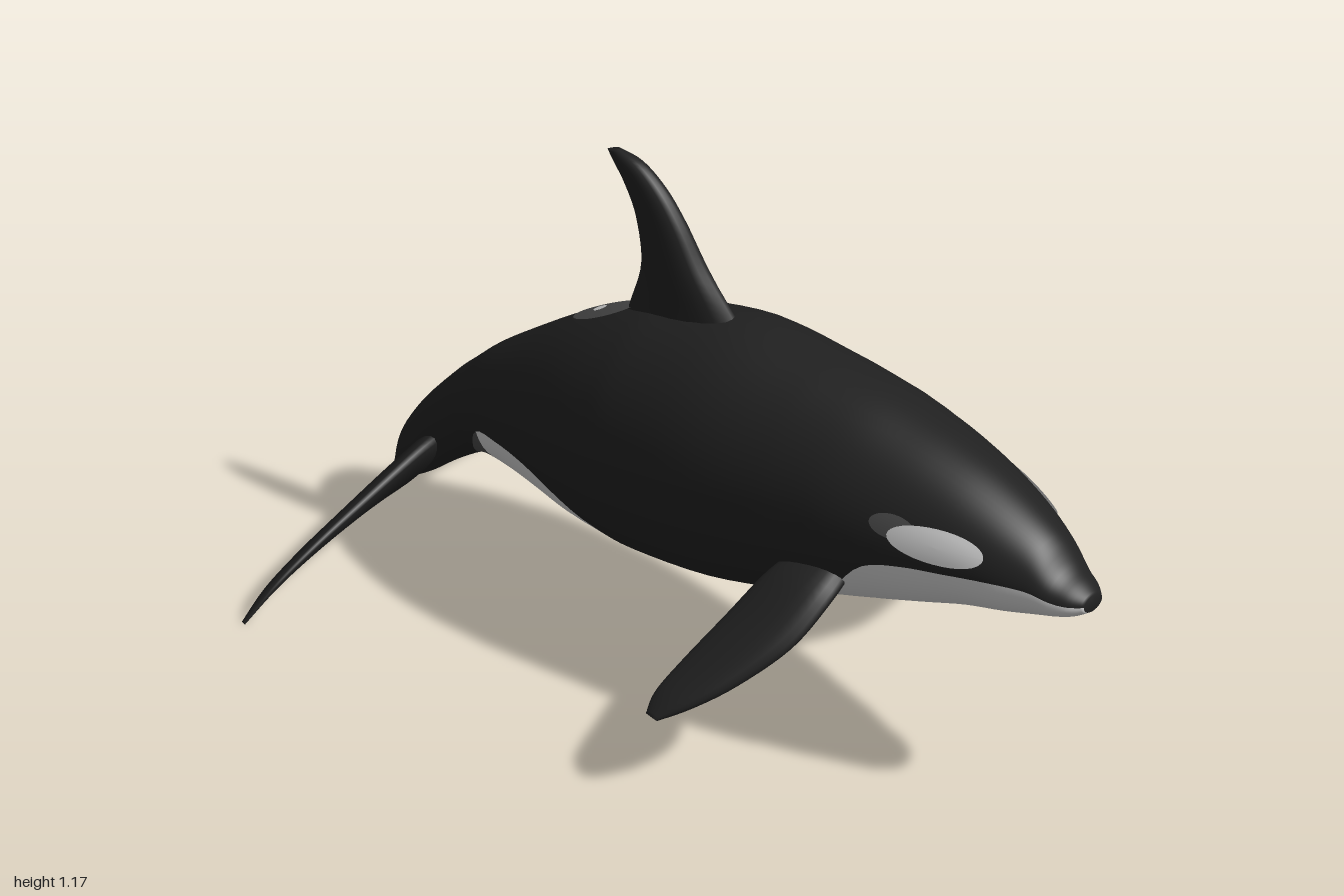
import * as THREE from 'three';

const mat = (name, color, side = THREE.FrontSide) => {
  const m = new THREE.MeshStandardMaterial({ color, side });
  m.name = name;
  return m;
};

// Catmull-Rom through the rows of a table, t counted in rows
function spline(rows, t) {
  const n = rows.length - 1;
  const i = Math.min(Math.floor(t), n - 1), f = t - i;
  const [a, b, c, d] = [-1, 0, 1, 2].map(k => rows[Math.min(n, Math.max(0, i + k))]);
  return b.map((_, k) => b[k] + 0.5 * f * (c[k] - a[k]
    + f * (2 * a[k] - 5 * b[k] + 4 * c[k] - d[k] + f * (3 * (b[k] - c[k]) + d[k] - a[k]))));
}

// Closed smooth surface from points and triangles, turned to face outward
function solid(points, idx) {
  let volume = 0;
  for (let i = 0; i < idx.length; i += 3) {
    const [a, b, c] = [points[idx[i]], points[idx[i + 1]], points[idx[i + 2]]];
    volume += a.dot(b.clone().cross(c));
  }
  if (volume < 0) {
    for (let i = 0; i < idx.length; i += 3) [idx[i + 1], idx[i + 2]] = [idx[i + 2], idx[i + 1]];
  }
  const g = new THREE.BufferGeometry().setFromPoints(points);
  g.setIndex(idx);
  g.computeVertexNormals();
  return g;
}

// Body stations: top z, y, bottom z, y, half width, height share of the pale belly
const body = [
  [1.0, 0.615, 1.0, 0.575, 0.03, 0.55],
  [0.97, 0.632, 0.97, 0.556, 0.055, 0.55],
  [0.93, 0.655, 0.93, 0.54, 0.073, 0.55],
  [0.88, 0.71, 0.88, 0.523, 0.092, 0.51],
  [0.8, 0.757, 0.8, 0.5, 0.122, 0.47],
  [0.7, 0.8, 0.7, 0.475, 0.15, 0.42],
  [0.6, 0.83, 0.6, 0.44, 0.175, 0.41],
  [0.5, 0.852, 0.5, 0.405, 0.195, 0.36],
  [0.4, 0.87, 0.4, 0.37, 0.21, 0.18],
  [0.3, 0.88, 0.3, 0.335, 0.219, 0.09],
  [0.2, 0.885, 0.2, 0.3, 0.228, 0.065],
  [0.0, 0.885, 0.0, 0.245, 0.242, 0.06],
  [-0.2, 0.835, -0.2, 0.22, 0.236, 0.09],
  [-0.3, 0.795, -0.3, 0.22, 0.221, 0.13],
  [-0.4, 0.742, -0.4, 0.226, 0.2, 0.25],
  [-0.5, 0.678, -0.49, 0.24, 0.172, 0.32],
  [-0.61, 0.595, -0.58, 0.252, 0.142, 0.38],
  [-0.7, 0.522, -0.645, 0.254, 0.116, 0.41],
  [-0.76, 0.462, -0.69, 0.25, 0.1, 0.2],
  [-0.81, 0.41, -0.735, 0.23, 0.085, 0.02],
  [-0.9, 0.3, -0.81, 0.175, 0.066, 0.02],
  [-0.96, 0.2, -0.88, 0.115, 0.056, 0.02],
  [-0.985, 0.11, -0.95, 0.065, 0.03, 0.02],
];

function bodyGeometry() {
  const steps = 4, low = 8, high = 16, half = low + high, n = half * 2;
  const rings = (body.length - 1) * steps;
  const points = [], parts = [[], [], []];
  for (let i = 0; i <= rings; i++) {
    const [zt, yt, zb, yb, w, f] = spline(body, i / steps);
    const split = Math.acos(1 - 2 * Math.min(0.95, Math.max(0.01, f)));
    for (let j = 0; j < n; j++) {
      const k = j <= half ? j : n - j;
      const a = k <= low ? split * k / low : split + (Math.PI - split) * (k - low) / high;
      const h = (1 - Math.cos(a)) / 2;
      points.push(new THREE.Vector3((j <= half ? 1 : -1) * w * Math.sin(a),
        yb + (yt - yb) * h, zb + (zt - zb) * h));
    }
  }
  for (let i = 0; i < rings; i++) {
    for (let j = 0; j < n; j++) {
      const belly = j < low || j >= n - low;
      const part = !belly || i >= 19 * steps ? 0 : i < 17 * steps ? 1 : 2;
      const a = i * n + j, b = i * n + (j + 1) % n;
      parts[part].push(a, b, a + n, b, b + n, a + n);
    }
  }
  // Nose and tail caps
  for (const r of [0, rings]) {
    const c = points.length;
    const [zt, yt, zb, yb] = spline(body, r / steps);
    points.push(new THREE.Vector3(0, (yt + yb) / 2, (zt + zb) / 2));
    for (let j = 0; j < n; j++) {
      const a = r * n + j, b = r * n + (j + 1) % n;
      parts[0].push(...(r ? [a, b, c] : [b, a, c]));
    }
  }
  const g = solid(points, parts.flat());
  let start = 0;
  parts.forEach((p, k) => { g.addGroup(start, p.length, k); start += p.length; });
  return g;
}

// Fin sections: leading x, y, z, trailing x, y, z, half thickness
function finGeometry(rows, normal, mirror = 1) {
  const steps = 5, n = 20, rings = (rows.length - 1) * steps;
  const points = [], idx = [], nrm = new THREE.Vector3(...normal).normalize();
  for (let i = 0; i <= rings; i++) {
    const s = spline(rows, i / steps);
    const lead = new THREE.Vector3(s[0], s[1], s[2]), trail = new THREE.Vector3(s[3], s[4], s[5]);
    for (let j = 0; j < n; j++) {
      const a = j / n * Math.PI * 2;
      const p = trail.clone().lerp(lead, 0.5 + 0.5 * Math.cos(a));
      p.addScaledVector(nrm, s[6] * Math.sin(a) * (0.85 + 0.25 * Math.cos(a)));
      p.x *= mirror;
      points.push(p);
      if (i < rings) {
        const q = i * n + j, b = i * n + (j + 1) % n;
        idx.push(q, b, q + n, b, b + n, q + n);
      }
    }
  }
  for (let j = 1; j < n - 1; j++) {
    const e = rings * n;
    idx.push(0, j + 1, j, e, e + j, e + j + 1);
  }
  return solid(points, idx);
}

const dorsal = [
  [0, 0.82, 0.02, 0, 0.72, -0.35, 0.052],
  [0, 0.89, -0.04, 0, 0.81, -0.32, 0.046],
  [0, 0.97, -0.11, 0, 0.92, -0.29, 0.041],
  [0, 1.06, -0.17, 0, 1.03, -0.305, 0.034],
  [0, 1.125, -0.225, 0, 1.1, -0.337, 0.029],
  [0, 1.17, -0.29, 0, 1.145, -0.37, 0.022],
  [0, 1.182, -0.355, 0, 1.168, -0.388, 0.009],
];
const flipper = [
  [0.14, 0.5, 0.43, 0.14, 0.5, 0.29, 0.034],
  [0.22, 0.465, 0.44, 0.22, 0.465, 0.26, 0.036],
  [0.32, 0.385, 0.415, 0.32, 0.385, 0.225, 0.033],
  [0.42, 0.305, 0.345, 0.42, 0.305, 0.19, 0.026],
  [0.49, 0.25, 0.275, 0.49, 0.25, 0.172, 0.018],
  [0.535, 0.214, 0.215, 0.53, 0.216, 0.18, 0.007],
];
const fluke = [
  [-0.02, 0.25, -0.84, -0.02, 0.075, -0.96, 0.03],
  [0.06, 0.255, -0.825, 0.06, 0.035, -0.98, 0.032],
  [0.14, 0.25, -0.82, 0.13, 0.025, -0.985, 0.028],
  [0.28, 0.215, -0.825, 0.28, 0.042, -0.96, 0.022],
  [0.44, 0.155, -0.845, 0.43, 0.05, -0.935, 0.016],
  [0.55, 0.09, -0.87, 0.54, 0.042, -0.918, 0.011],
  [0.62, 0.012, -0.9, 0.615, 0.008, -0.912, 0.004],
];

// Body section at a given z
function sectionAt(z) {
  let a = 0, b = body.length - 1;
  for (let i = 0; i < 30; i++) {
    const m = (a + b) / 2;
    if (spline(body, m)[0] > z) a = m; else b = m;
  }
  const [, yt, , yb, w] = spline(body, a);
  return { c: (yt + yb) / 2, h: (yt - yb) / 2, w };
}

// Oval patch moulded on the skin; place(u, v) maps the unit disc to the body
function patchGeometry(place) {
  const g = new THREE.CircleGeometry(1, 32);
  const rings = new THREE.RingGeometry(0.0001, 1, 32, 5);
  const p = rings.attributes.position;
  for (let i = 0; i < p.count; i++) p.setXYZ(i, ...place(p.getX(i), p.getY(i)));
  g.dispose();
  rings.computeVertexNormals();
  return rings;
}
const sidePatch = (s, z0, y0, rz, ry, lift) => patchGeometry((u, v) => {
  const z = z0 + u * rz, y = y0 + v * ry, { c, h, w } = sectionAt(z);
  return [s * (w * Math.sqrt(Math.max(0, 1 - ((y - c) / h) ** 2)) + lift), y, z];
});
const backPatch = (z0, rz, rx, lift) => patchGeometry((u, v) => {
  const z = z0 + u * rz, x = v * rx, { c, h, w } = sectionAt(z);
  return [x, c + h * Math.sqrt(1 - (x / w) ** 2) + lift, z];
});

export function createModel() {
  const black = mat('black skin', 0x212121);
  const white = mat('white skin', 0xd6d6d6);
  const grey = mat('grey skin', 0x4c4c4c);
  const whitePatch = mat('white patch', 0xd6d6d6, THREE.DoubleSide);
  const greyPatch = mat('grey patch', 0x4c4c4c, THREE.DoubleSide);

  const model = new THREE.Group();
  model.name = 'whale';
  const trunk = new THREE.Group();
  trunk.name = 'trunk';
  trunk.position.x = -0.012;
  model.add(trunk);
  const add = (parent, name, geometry, material) => {
    const m = new THREE.Mesh(geometry, material);
    m.name = name;
    parent.add(m);
  };

  add(trunk, 'body', bodyGeometry(), [black, white, grey]);
  add(trunk, 'dorsalFin', finGeometry(dorsal, [1, 0, 0]), black);
  add(trunk, 'saddlePatch', backPatch(-0.395, 0.085, 0.042, 0.004), greyPatch);
  add(trunk, 'saddleSpot', backPatch(-0.41, 0.016, 0.013, 0.007), whitePatch);

  // Paired parts
  for (const [side, s] of [['left', 1], ['right', -1]]) {
    add(trunk, side + 'Flipper', finGeometry(flipper, [0.62, 0.78, 0], s), black);
    add(trunk, side + 'EyePatch', sidePatch(s, 0.68, 0.678, 0.112, 0.041, 0.007), whitePatch);
    add(trunk, side + 'EyeShade', sidePatch(s, 0.575, 0.695, 0.055, 0.028, 0.004), greyPatch);
    add(model, side + 'Fluke', finGeometry(fluke, [0, -0.59, 0.81], s), black);
  }
  return model;
}
